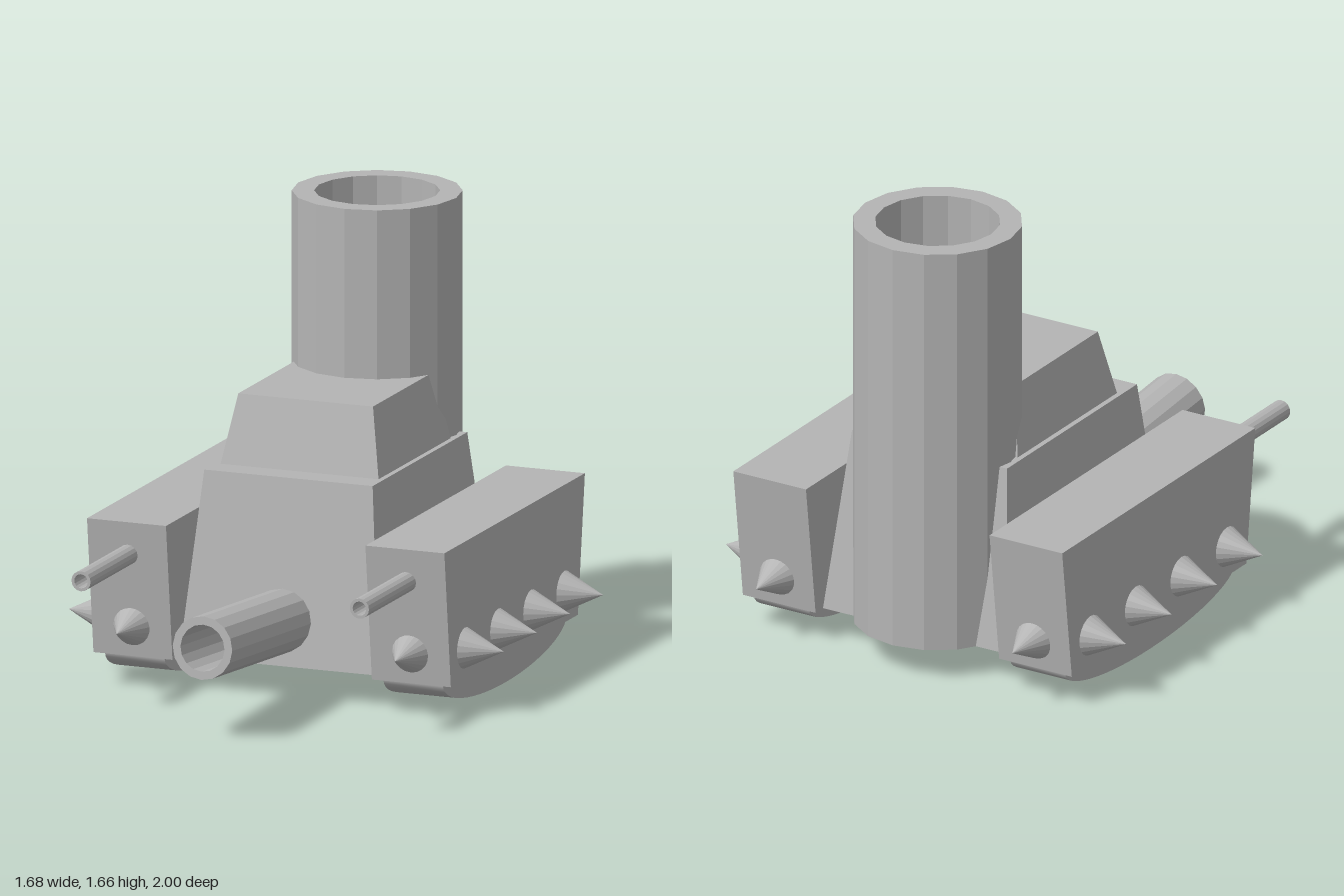
import * as THREE from 'three';
import { toCreasedNormals } from 'three/addons/utils/BufferGeometryUtils.js';

export function createModel() {
  const model = new THREE.Group();
  model.name = 'fortressVehicle';
  const grey = new THREE.MeshStandardMaterial({ color: 0xb4b4b4 });
  grey.name = 'grey';

  function add(name, geometry, x = 0, y = 0, z = 0, parent = model) {
    const mesh = new THREE.Mesh(geometry, grey);
    mesh.name = name;
    mesh.position.set(x, y, z);
    parent.add(mesh);
    return mesh;
  }
  const faceted = (g) => toCreasedNormals(g, 0.2);

  // Tapered block; each end is [y, half width, back z, front z]
  function taperedBlock(bottom, top) {
    const g = new THREE.BoxGeometry(2, 2, 2);
    const p = g.attributes.position;
    for (let i = 0; i < p.count; i++) {
      const [y, w, back, front] = p.getY(i) > 0 ? top : bottom;
      p.setXYZ(i, p.getX(i) * w, y, p.getZ(i) > 0 ? front : back);
    }
    g.computeVertexNormals();
    return g;
  }

  // Pipe along +y with a bore open at the top down to the given floor height
  function pipe(outer, inner, length, floor) {
    const points = [[0, 0], [outer, 0], [outer, length], [inner, length], [inner, floor], [0, floor]];
    return faceted(new THREE.LatheGeometry(points.map((q) => new THREE.Vector2(...q)), 16));
  }

  // Central hull and upper cabin
  add('hull', taperedBlock([0.12, 0.385, -0.79, 0.28], [0.79, 0.325, -0.69, 0.19]));
  add('cabin', taperedBlock([0.79, 0.305, -0.585, 0.087], [1.04, 0.26, -0.53, 0.03]));

  // Large rear chimney
  add('chimney', pipe(0.305, 0.225, 1.54, 0.68), 0, 0.12, -0.635);

  // Main cannon, raised five degrees
  const tilt = THREE.MathUtils.degToRad(5);
  const length = 0.85;
  const cannon = add('mainCannon', pipe(0.115, 0.085, length, 0.1),
    0, 0.345 - length * Math.sin(tilt), 0.99 - length * Math.cos(tilt));
  cannon.rotation.x = Math.PI / 2 - tilt;

  // Side pods with rocker runners, small guns and spikes
  const podShape = taperedBlock([0.12, 0.1525, -0.84, 0.342], [0.625, 0.1525, -0.905, 0.402]);
  const runnerShape = new THREE.CylinderGeometry(1, 1, 0.23, 48, 1);
  runnerShape.rotateZ(Math.PI / 2);
  runnerShape.scale(1, 0.12, 0.575);
  const runner = toCreasedNormals(runnerShape, 0.7);
  const gun = pipe(0.037, 0.026, 0.45, 0.15);
  const spike = faceted(new THREE.ConeGeometry(0.075, 0.15, 20));

  for (const side of [1, -1]) {
    const pod = new THREE.Group();
    pod.name = side > 0 ? 'leftPod' : 'rightPod';
    pod.position.x = side * 0.5375;
    model.add(pod);
    add('podBody', podShape, 0, 0, 0, pod);
    add('runner', runner, 0, 0.12, -0.25, pod);
    add('smallGun', gun, 0, 0.503, 0.375, pod).rotation.x = Math.PI / 2;
    for (let i = 0; i < 4; i++) {
      add('sideSpike', spike, side * 0.2275, 0.235, 0.21 - i * 0.308, pod).rotation.z = -side * Math.PI / 2;
    }
    add('frontSpike', spike, 0, 0.235, 0.42, pod).rotation.x = Math.PI / 2;
    add('rearSpike', spike, 0, 0.235, -0.922, pod).rotation.x = -Math.PI / 2;
  }
  return model;
}
